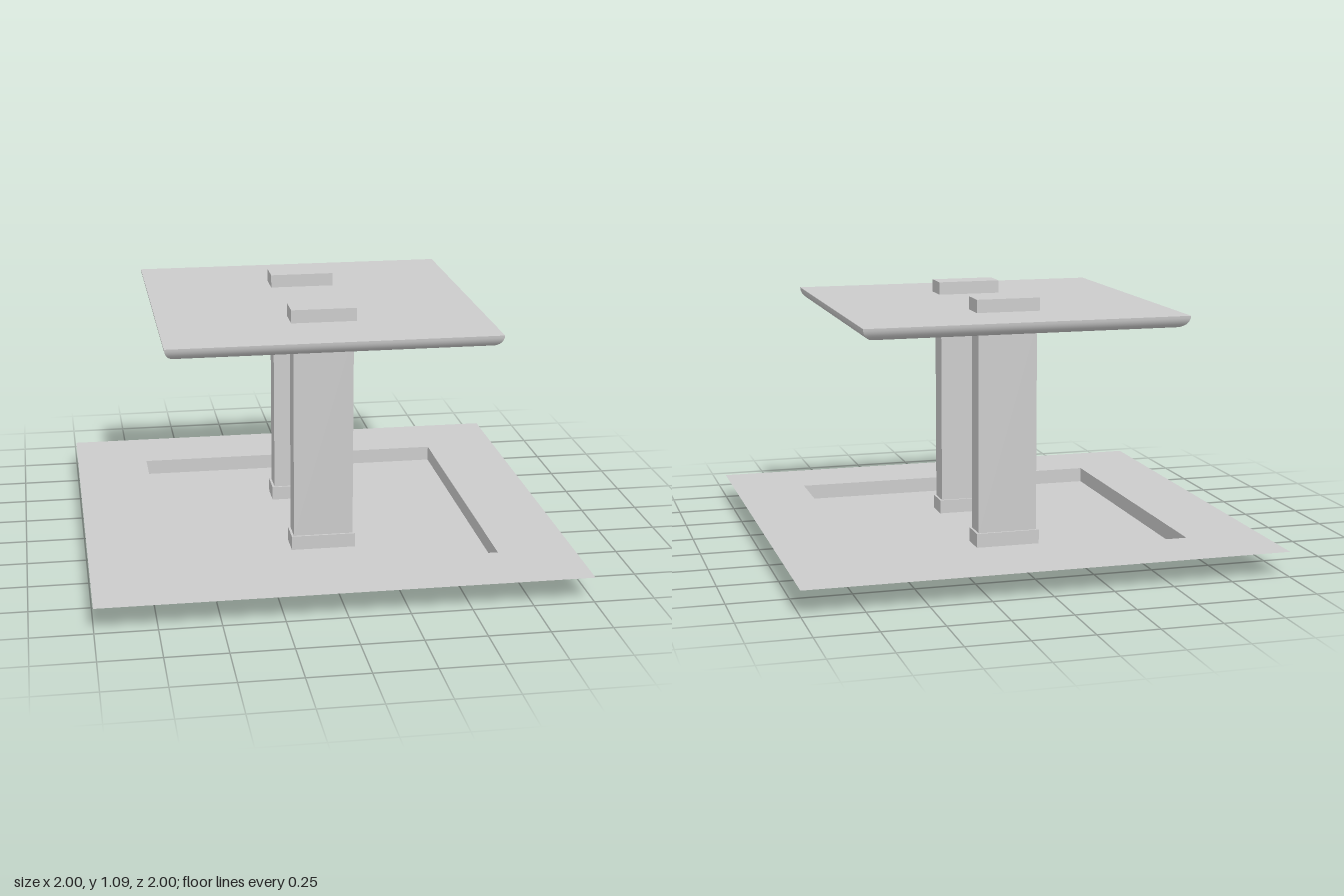
import * as THREE from 'three';
import { toCreasedNormals } from 'three/addons/utils/BufferGeometryUtils.js';

const solid = new THREE.MeshStandardMaterial({ color: 0xcccccc });
const sheet = new THREE.MeshStandardMaterial({ color: 0xcccccc, side: THREE.DoubleSide });

const HALF = 0.68;      // half width of both the top and the sunken tray
const RIM = 0.105;      // height of the ground sheet
const FLOOR = 0.04;     // height of the tray floor

function add(parent, name, geometry, material = solid) {
  const mesh = new THREE.Mesh(geometry, material);
  mesh.name = name;
  parent.add(mesh);
  return mesh;
}

// Box given by its width, depth and vertical extent
function block(parent, name, w, d, y0, y1) {
  add(parent, name, new THREE.BoxGeometry(w, y1 - y0, d)).position.y = (y0 + y1) / 2;
}

// Square slab whose lower edge is rounded over, with mitred corners
function slabGeometry(bottom, top) {
  const r = top - bottom;
  const profile = [new THREE.Vector2(0, bottom)];
  for (let i = 0; i <= 8; i++) {
    const a = (i / 8) * Math.PI / 2;
    profile.push(new THREE.Vector2((HALF - r + r * Math.sin(a)) * Math.SQRT2, top - r * Math.cos(a)));
  }
  profile.push(new THREE.Vector2(0, top));
  return toCreasedNormals(new THREE.LatheGeometry(profile, 4, Math.PI / 4), 0.5);
}

export function createModel() {
  const model = new THREE.Group();
  model.name = 'pedestalTable';

  // Ground sheet with a square opening
  const outline = new THREE.Shape([[-1, -1], [1, -1], [1, 1], [-1, 1]].map(p => new THREE.Vector2(...p)));
  outline.holes.push(new THREE.Path(
    [[-1, -1], [-1, 1], [1, 1], [1, -1]].map(([x, y]) => new THREE.Vector2(x * HALF, y * HALF))));
  const ground = add(model, 'groundSheet', new THREE.ShapeGeometry(outline), sheet);
  ground.rotation.x = -Math.PI / 2;
  ground.position.y = RIM;

  // Sunken tray: floor and four walls
  const tray = new THREE.Group();
  tray.name = 'sunkenTray';
  model.add(tray);
  const floor = add(tray, 'trayFloor', new THREE.PlaneGeometry(2 * HALF, 2 * HALF), sheet);
  floor.rotation.x = -Math.PI / 2;
  floor.position.y = FLOOR;
  for (let i = 0; i < 4; i++) {
    const wall = new THREE.PlaneGeometry(2 * HALF, RIM - FLOOR);
    wall.translate(0, (RIM + FLOOR) / 2, HALF);
    add(tray, 'trayWall', wall, sheet).rotation.y = i * Math.PI / 2;
  }

  // Two posts, each with a wider foot and a cap that pokes through the top
  for (const s of [1, -1]) {
    const support = new THREE.Group();
    support.name = s > 0 ? 'frontSupport' : 'backSupport';
    support.position.z = s * 0.307;
    block(support, 'foot', 0.272, 0.12, 0, 0.1);
    block(support, 'post', 0.252, 0.102, 0.1, 0.99);
    block(support, 'cap', 0.272, 0.12, 0.99, 1.09);
    model.add(support);
  }

  add(model, 'tableTop', slabGeometry(0.983, 1.035));
  return model;
}
